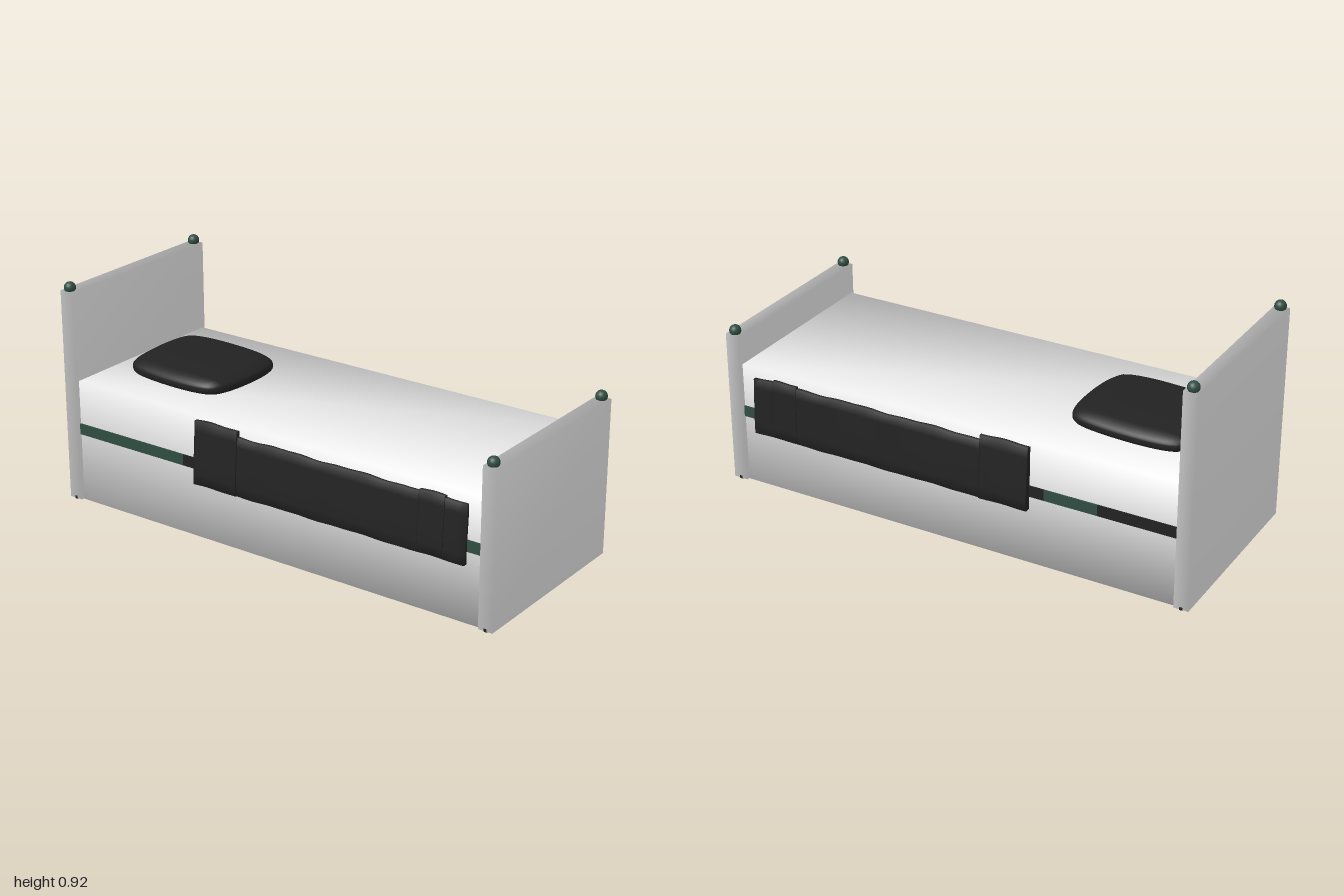
import * as THREE from 'three';
import { mergeVertices } from 'three/addons/utils/BufferGeometryUtils.js';

const mat = (name, color) => {
  const m = new THREE.MeshStandardMaterial({ color });
  m.name = name;
  return m;
};

// Share corners so normals blend softly over the whole shape
function soften(geo) {
  geo.deleteAttribute('normal');
  geo.deleteAttribute('uv');
  const g = mergeVertices(geo, 1e-4);
  g.computeVertexNormals();
  return g;
}

// Move every vertex of a geometry by a rule
function reshape(geo, rule) {
  const p = geo.attributes.position;
  const v = new THREE.Vector3();
  for (let i = 0; i < p.count; i++) {
    v.fromBufferAttribute(p, i);
    rule(v);
    p.setXYZ(i, v.x, v.y, v.z);
  }
  return soften(geo);
}

// Box given by its limits
function span(x0, x1, y0, y1, z0, z1, sx = 1, sy = 1, sz = 1) {
  return new THREE.BoxGeometry(x1 - x0, y1 - y0, z1 - z0, sx, sy, sz)
    .translate((x0 + x1) / 2, (y0 + y1) / 2, (z0 + z1) / 2);
}

export function createModel() {
  const bed = new THREE.Group();
  bed.name = 'bed';
  const white = mat('white', 0xe6e6e6);
  const black = mat('black', 0x222222);
  const green = mat('darkGreen', 0x304d42);

  const add = (name, geo, material, parent = bed) => {
    const m = new THREE.Mesh(geo, material);
    m.name = name;
    parent.add(m);
    return m;
  };

  // Mattress and base in one block
  add('mattress', soften(span(-0.94, 0.94, 0, 0.51, -0.385, 0.385)), white);

  // End boards with knobs on top and small feet below
  for (const [name, side, height] of [['headboard', -1, 0.88], ['footboard', 1, 0.635]]) {
    const board = new THREE.Group();
    board.name = name;
    bed.add(board);
    add(name + 'Panel', soften(span(side * 0.97 - 0.03, side * 0.97 + 0.03, 0.002, height, -0.4, 0.4)), white, board);
    for (const z of [-0.378, 0.378]) {
      add('knob', new THREE.SphereGeometry(0.0235, 24, 16), green, board)
        .position.set(side * 0.97, height + 0.012, z);
      add('foot', new THREE.CylinderGeometry(0.012, 0.012, 0.012, 16), black, board)
        .position.set(side * 0.97, 0.006, Math.sign(z) * 0.39);
    }
  }

  // Side rails, striped in green and black
  const rails = [
    [1, [[-0.94, -0.41, green], [-0.41, -0.34, black], [-0.34, 0.94, green]]],
    [-1, [[-0.94, -0.62, black], [-0.62, -0.4, green], [-0.4, -0.34, black], [-0.34, 0.94, green]]],
  ];
  for (const [s, parts] of rails) {
    for (const [x0, x1, m] of parts) {
      add('sideRail', span(x0, x1, 0.285, 0.33, s * 0.386 - 0.005, s * 0.386 + 0.005), m);
    }
  }

  // Blanket drapes: a long sheet, a folded cuff and a small tuck, flaring outward
  const drape = (s, x0, x1, y0, y1, lift) => reshape(
    span(x0, x1, y0, y1, -0.5, 0.5, 40, 6, 1),
    (v) => {
      const down = Math.min(1, (0.49 - v.y) / 0.2);
      const wave = Math.sin(v.x * 19) * 0.0015 + Math.sin(v.x * 43 + s) * 0.001;
      const outer = 0.397 + lift + 0.016 * down - 0.003 * v.x * down + wave * down;
      if (v.y < y0 + 0.001 || v.y > y1 - 0.001) v.y += wave * 1.5;
      v.z = s * (v.z * s > 0 ? outer : 0.384 + 0.012 * Math.max(0, down - 0.3));
    });
  for (const s of [1, -1]) {
    const blanket = new THREE.Group();
    blanket.name = s > 0 ? 'frontBlanket' : 'backBlanket';
    bed.add(blanket);
    add('sheet', drape(s, -0.33, 0.88, 0.237, 0.47, 0), black, blanket);
    add('cuff', drape(s, -0.34, -0.135, 0.235, 0.493, 0.002), black, blanket);
    add('tuck', drape(s, 0.68, 0.79, 0.24, 0.477, 0.001), black, blanket);
  }

  // Pillow: domed top, bowed sides, slightly skewed
  const pillow = reshape(new THREE.BoxGeometry(2, 2, 2, 20, 6, 20), (v) => {
    const { x, y, z } = v;
    const h = (y + 1) / 2;
    const dome = (1 - x ** 4) * (1 - z ** 4);
    const corner = 1 - 0.07 * Math.abs(x * z) ** 6;
    const side = 1 - 0.03 * Math.abs(y) ** 3;
    v.x = x * (0.232 + 0.023 * (1 - z * z)) * corner * side - 0.006 * z * x;
    v.z = z * (0.198 + 0.022 * (1 - x * x)) * corner * side + 0.012 * x * (1 - Math.abs(x) * 0.3);
    v.y = h * (0.038 + 0.026 * Math.sqrt(dome));
  });
  add('pillow', pillow, black).position.set(-0.625, 0.511, 0.004);

  return bed;
}
